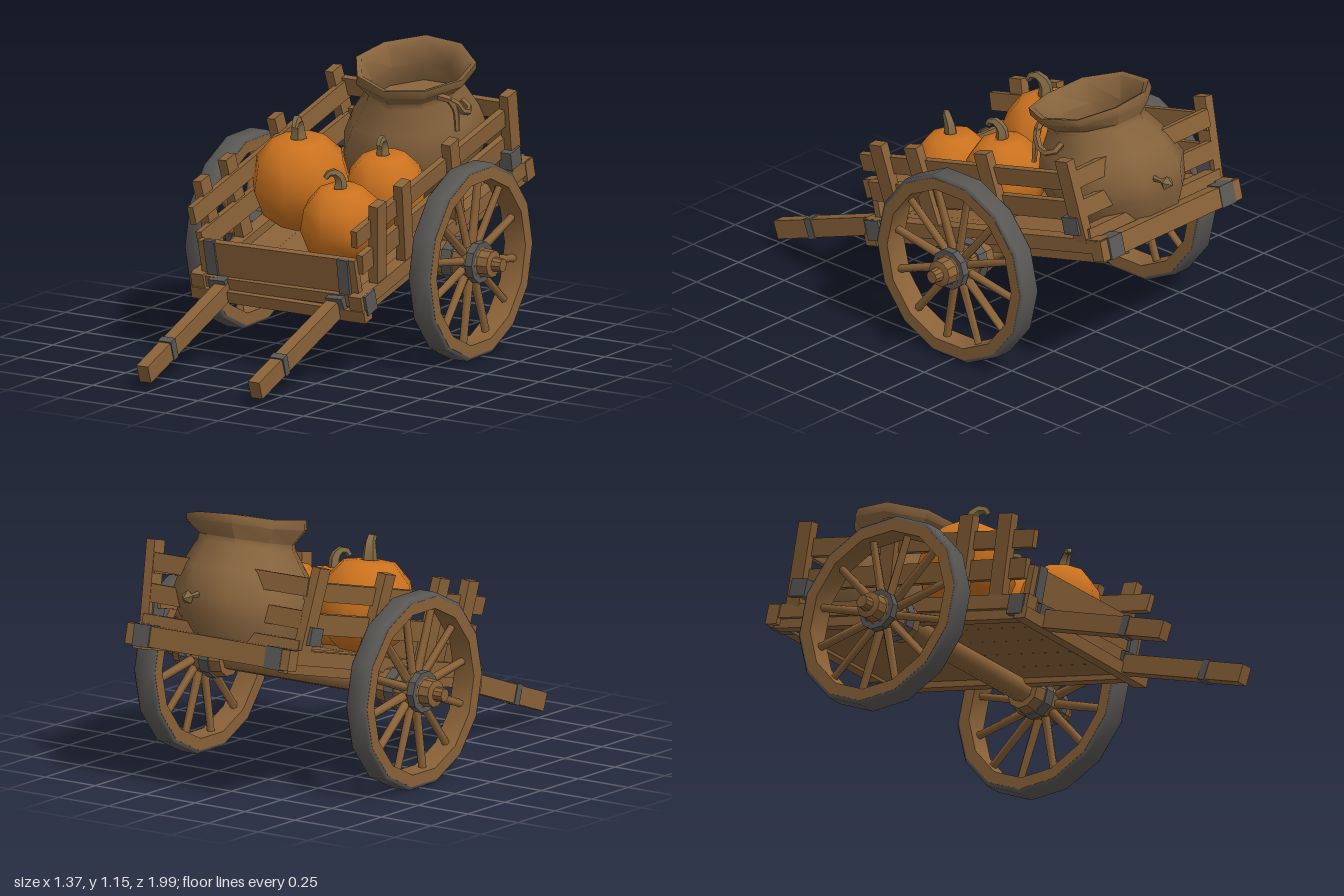
import * as THREE from 'three';
import { toCreasedNormals } from 'three/addons/utils/BufferGeometryUtils.js';

const mat = (name, color) => {
  const m = new THREE.MeshStandardMaterial({ color });
  m.name = name;
  return m;
};
const V = (x, y, z) => new THREE.Vector3(x, y, z);

export function createModel() {
  const wood = mat('wood', 0x8a6238);
  const sackCloth = mat('sack cloth', 0x86633d);
  const orange = mat('pumpkin skin', 0xcb721f);
  const stemGreen = mat('dry stem', 0x7f6843);
  const iron = mat('iron', 0x5a5855);
  sackCloth.side = THREE.DoubleSide;

  let seed = 7;
  const jitter = (a) => {
    seed = (seed * 16807) % 2147483647;
    return (seed / 2147483647 - 0.5) * 2 * a;
  };

  const add = (parent, name, geo, material, x = 0, y = 0, z = 0) => {
    const m = new THREE.Mesh(geo, material);
    m.name = name;
    m.position.set(x, y, z);
    parent.add(m);
    return m;
  };
  // Slightly crooked box, for hand-cut timber
  const beam = (parent, name, w, h, d, x, y, z, material = wood, wobble = 0.01) => {
    const m = add(parent, name, new THREE.BoxGeometry(w, h, d), material, x, y, z);
    m.rotation.set(jitter(wobble), jitter(wobble), jitter(wobble));
    return m;
  };
  const lathe = (pts, sides, crease = 0.6) =>
    toCreasedNormals(new THREE.LatheGeometry(pts.map(([r, y]) => new THREE.Vector2(r, y)), sides), crease);
  const ring = (ri, ro, y0, y1, sides) =>
    lathe([[ri, y0], [ro, y0], [ro, y1], [ri, y1], [ri, y0]], sides);
  // Tube that narrows along its path
  const taperTube = (points, r0, r1, sides = 5, steps = 6) => {
    const curve = new THREE.CatmullRomCurve3(points);
    const g = new THREE.TubeGeometry(curve, steps, 1, sides);
    const p = g.attributes.position;
    for (let i = 0; i < p.count; i++) {
      const t = Math.floor(i / (sides + 1)) / steps;
      const c = curve.getPointAt(t);
      const v = V().fromBufferAttribute(p, i).sub(c).multiplyScalar(r0 + (r1 - r0) * t).add(c);
      p.setXYZ(i, v.x, v.y, v.z);
    }
    return toCreasedNormals(g, 1);
  };

  const model = new THREE.Group();
  model.name = 'pumpkin cart';

  // Tilted cart body
  const body = new THREE.Group();
  body.name = 'cart body';
  body.position.set(0, 0.47, -0.255);
  body.rotation.x = 0.24;
  model.add(body);

  for (let i = 0; i < 5; i++) beam(body, 'floorPlank', 0.148, 0.04, 1.3, (i - 2) * 0.146, -0.01, 0, wood, 0.002);
  beam(body, 'frontBeam', 0.82, 0.05, 0.06, 0, -0.04, 0.645);
  beam(body, 'frontSill', 0.8, 0.05, 0.05, 0, 0.012, 0.63);
  beam(body, 'rearBeam', 0.82, 0.085, 0.06, 0, 0, -0.65);
  beam(body, 'rearSill', 0.78, 0.06, 0.06, 0, 0.055, -0.575);
  beam(body, 'frontBoard', 0.74, 0.15, 0.03, 0, 0.11, 0.62);
  beam(body, 'rearLowerPlank', 0.76, 0.075, 0.03, 0, 0.17, -0.58);
  beam(body, 'rearUpperPlank', 0.78, 0.075, 0.03, 0, 0.3, -0.58);

  for (const s of [-1, 1]) {
    beam(body, 'sideRail', 0.06, 0.06, 1.34, s * 0.375, 0.015, 0, wood, 0.004);
    beam(body, 'lowerRail', 0.045, 0.045, 1.3, s * 0.365, -0.032, 0, wood, 0.004);

    // Side wall leaning outwards
    const wall = new THREE.Group();
    wall.name = 'sideWall';
    wall.position.set(s * 0.36, 0.02, 0);
    wall.rotation.z = -s * 0.1;
    body.add(wall);
    beam(wall, 'lowerSidePlank', 0.028, 0.085, 1.16, 0, 0.14, 0.03);
    beam(wall, 'upperSidePlank', 0.028, 0.075, 1.22, 0, 0.268, 0.02);
    for (const z of [-0.56, -0.105, 0.285, 0.49])
      beam(wall, 'sidePost', 0.042, 0.37, 0.07, s * 0.02, 0.185, z, wood, 0.03);

    // Iron fittings
    beam(body, 'boardStrap', 0.05, 0.15, 0.016, s * 0.315, 0.115, 0.638, iron, 0.05);
    beam(body, 'frontCornerBracket', 0.03, 0.085, 0.075, s * 0.4, 0, 0.615, iron, 0.06);
    beam(body, 'rearPostBracket', 0.06, 0.075, 0.08, s * 0.395, 0.105, -0.535, iron, 0.04);
    beam(body, 'rearBeamBracket', 0.08, 0.092, 0.066, s * 0.33, 0, -0.652, iron, 0.02);

    // Pull handle with its grip band
    const handle = new THREE.Group();
    handle.name = 'handle';
    handle.position.set(s * 0.265, 0.189, 0.67);
    handle.rotation.x = 0.343;
    model.add(handle);
    beam(handle, 'handleShaft', 0.054, 0.077, 0.67, 0, 0, 0.005, wood, 0.004);
    beam(handle, 'handleBand', 0.062, 0.087, 0.035, 0, 0, 0.14, iron, 0.03);
    beam(handle, 'handleMount', 0.08, 0.09, 0.05, s * 0.015, 0.01, -0.32, iron, 0.08);

    // Wheel, turned about the axle line
    const wheel = new THREE.Group();
    wheel.name = 'wheel';
    wheel.position.set(0, 0.395, -0.23);
    wheel.rotation.z = -s * Math.PI / 2;
    model.add(wheel);
    add(wheel, 'tire', lathe([[0.385, 0.482], [0.396, 0.482], [0.405, 0.492], [0.405, 0.57],
      [0.396, 0.58], [0.385, 0.58], [0.385, 0.482]], 14, 0.9), iron);
    add(wheel, 'woodRim', ring(0.34, 0.389, 0.481, 0.581, 14), wood);
    add(wheel, 'hub', lathe([[0, 0.39], [0.075, 0.39], [0.083, 0.44], [0.075, 0.58], [0.058, 0.592],
      [0.056, 0.64], [0.03, 0.645], [0.027, 0.685], [0, 0.685]], 10), wood);
    add(wheel, 'innerHubBand', ring(0.07, 0.09, 0.44, 0.487, 10), iron);
    add(wheel, 'outerHubBand', ring(0.055, 0.086, 0.555, 0.588, 10), iron);
    for (let i = 0; i < 12; i++) {
      const a = i * Math.PI / 6 - 0.17;
      const dir = V(-s * Math.cos(a), 0, Math.sin(a));
      const spoke = add(wheel, 'spoke', toCreasedNormals(new THREE.CylinderGeometry(0.016, 0.019, 0.29, 6), 1.1),
        wood, dir.x * 0.205, 0.53, dir.z * 0.205);
      spoke.quaternion.setFromUnitVectors(V(0, 1, 0), dir);
    }
  }
  const axle = add(model, 'axle', toCreasedNormals(new THREE.CylinderGeometry(0.05, 0.05, 0.84, 8), 0.9), wood, 0, 0.397, -0.23);
  axle.rotation.z = Math.PI / 2;

  // Open sack: its neck drifts sideways and the lip is uneven
  const sackGeo = new THREE.LatheGeometry([[0, 0.02], [0.23, 0.02], [0.285, 0.12], [0.303, 0.21], [0.265, 0.32],
    [0.205, 0.42], [0.2, 0.445], [0.252, 0.5], [0.25, 0.535], [0.228, 0.53], [0.185, 0.45], [0.205, 0.36], [0, 0.33]]
    .map(([r, y]) => new THREE.Vector2(r, y)), 9);
  const sp = sackGeo.attributes.position;
  for (let i = 0; i < sp.count; i++) {
    const x = sp.getX(i), y = sp.getY(i), z = sp.getZ(i), a = Math.atan2(z, x);
    const lip = Math.max(0, y - 0.43) / 0.1;
    const k = 1 + 0.02 * Math.sin(2 * a + 0.8) * Math.min(1, lip + 0.3);
    sp.setXYZ(i, x * k + y * 0.16, y - lip * (0.07 * x - 0.006 * Math.sin(3 * a)), z * k);
  }
  add(body, 'sack', toCreasedNormals(sackGeo, 0.95), sackCloth, -0.01, 0, -0.42);
  const tip = add(model, 'sackTip', lathe([[0, -0.09], [0.014, -0.08], [0.01, -0.03], [0.03, 0], [0, 0.035]], 5),
    stemGreen, 0.07, 0.835, -0.955);
  tip.rotation.x = -Math.PI / 2;
  add(model, 'ropeLoop', taperTube([V(0.25, 1.0, -0.43), V(0.31, 0.98, -0.46), V(0.33, 0.93, -0.5),
    V(0.325, 0.93, -0.56), V(0.28, 0.96, -0.57)], 0.016, 0.014), sackCloth);
  add(model, 'ropeEnd', taperTube([V(0.29, 0.99, -0.45), V(0.315, 0.95, -0.46), V(0.325, 0.86, -0.46)], 0.015, 0.011), sackCloth);

  // Pumpkins: x, y, z, radius, half height, stem turn
  for (const [x, y, z, r, h, turn] of [[-0.18, 0.67, -0.08, 0.206, 0.19, 0.2],
    [0.17, 0.653, -0.16, 0.17, 0.165, 0.1], [0.15, 0.578, 0.14, 0.171, 0.16, -0.8]]) {
    const pumpkin = new THREE.Group();
    pumpkin.name = 'pumpkin';
    pumpkin.position.set(x, y, z);
    pumpkin.rotation.set(0.12, turn, 0);
    model.add(pumpkin);
    const profile = [[0, -0.92], [0.5, -0.95], [0.86, -0.6], [1.02, -0.05], [0.9, 0.52], [0.55, 0.92], [0.22, 0.98], [0, 0.9]];
    add(pumpkin, 'pumpkinBody', lathe(profile.map(([a, b]) => [a * r, b * h]), 8, 0.95), orange);
    const q = r / 0.206;
    add(pumpkin, 'pumpkinStem', taperTube([V(0, h * 0.88, 0), V(0, h + 0.035 * q, -0.004), V(0.008, h + 0.075 * q, 0.015),
      V(0.012, h + 0.078 * q, 0.05 * q), V(0.012, h + 0.055 * q, 0.07 * q)], 0.036 * q, 0.012), stemGreen);
  }
  return model;
}
